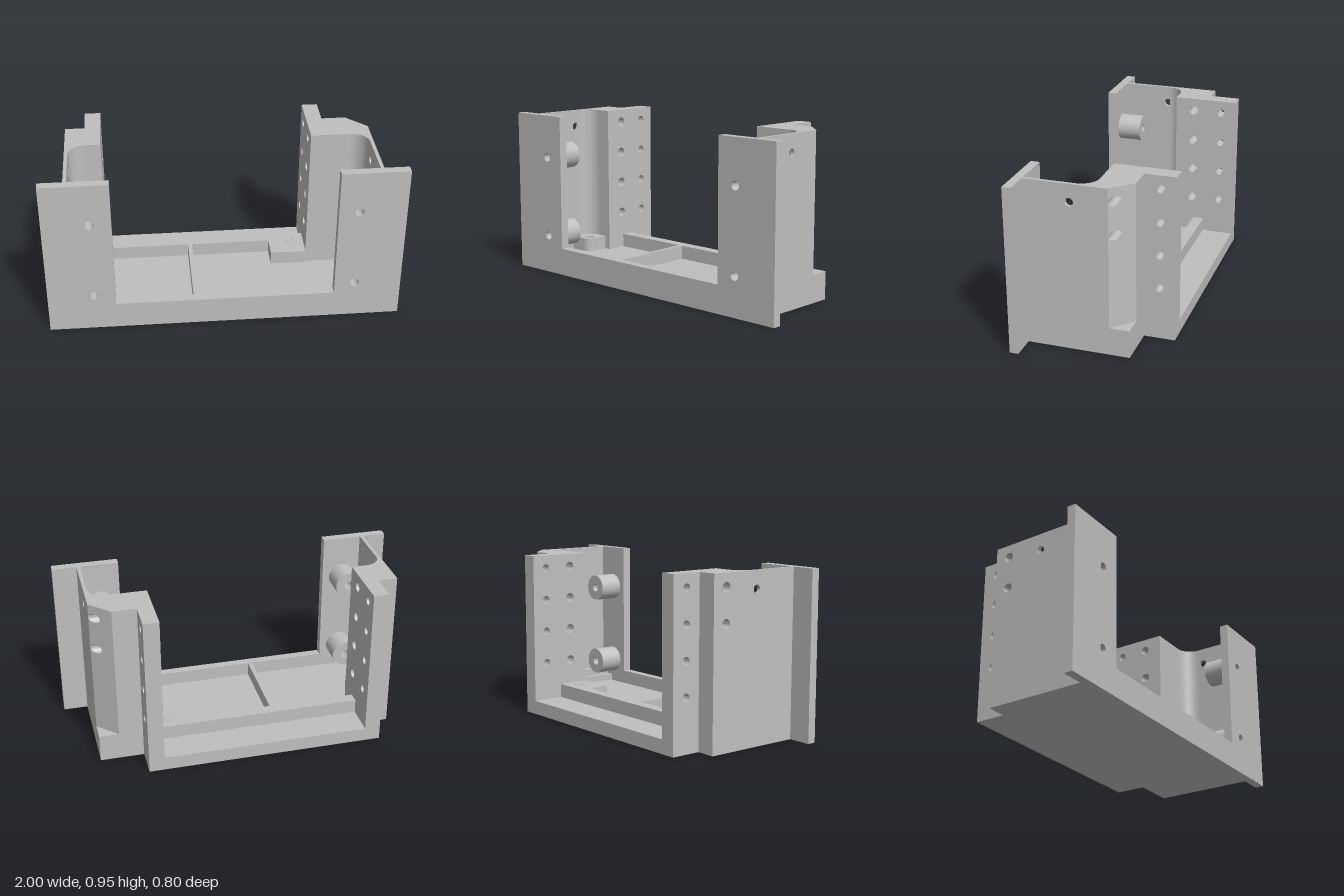
import * as THREE from 'three';
import { toCreasedNormals } from 'three/addons/utils/BufferGeometryUtils.js';

export function createModel() {
  const model = new THREE.Group();
  model.name = 'mountingBracket';
  const grey = new THREE.MeshStandardMaterial({ color: 0xbfbfbf });
  grey.name = 'plain grey';

  const TOP = 0.95, FLOOR = 0.08, LIP = 0.16;

  const add = (name, geometry) => {
    const mesh = new THREE.Mesh(toCreasedNormals(geometry, 0.6), grey);
    mesh.name = name;
    model.add(mesh);
    return mesh;
  };
  const polygon = (pts) => new THREE.Shape(pts.map(([a, b]) => new THREE.Vector2(a, b)));
  const drill = (shape, u, v, r) => {
    shape.holes.push(new THREE.Path().absarc(u, v, r, 0, Math.PI * 2, true));
    return shape;
  };
  const extrude = (shape, depth) =>
    new THREE.ExtrudeGeometry(shape, { depth, bevelEnabled: false, curveSegments: 20 });

  // Plan shape drawn in (x, -z), raised from y0 to y1
  const raise = (name, shape, y0, y1) =>
    add(name, extrude(shape, y1 - y0).rotateX(-Math.PI / 2).translate(0, y0, 0));
  const plan = (pts) => polygon(pts.map(([x, z]) => [x, -z]));
  const block = (name, x0, x1, z0, z1, y0, y1) =>
    raise(name, plan([[x0, z1], [x1, z1], [x1, z0], [x0, z0]]), y0, y1);

  // Upright slab spanning x0..x1 with round holes [z, y, radius] along x
  const slabGeometry = (x0, x1, z0, z1, y0, holes) => {
    const shape = polygon([[-z1, y0], [-z0, y0], [-z0, TOP], [-z1, TOP]]);
    holes.forEach(([z, y, r]) => drill(shape, -z, y, r));
    return extrude(shape, x1 - x0).rotateY(Math.PI / 2).translate(x0, 0, 0);
  };
  const slab = (name, x0, x1, z0, z1, y0 = FLOOR, holes = []) =>
    add(name, slabGeometry(x0, x1, z0, z1, y0, holes));

  // Base plate
  raise('basePlate', plan([
    [-1, 0.4], [1, 0.4], [1, 0.35], [0.86, 0.35], [0.86, -0.225], [0.61, -0.225],
    [0.61, -0.4], [-0.755, -0.4], [-0.755, -0.225], [-0.865, -0.225], [-0.865, 0.35], [-1, 0.35],
  ]), 0, FLOOR);

  // Front plate with a wide opening, screw holes and standoffs behind it
  const front = polygon([
    [-1, 0], [1, 0], [1, TOP], [0.62, TOP], [0.62, LIP], [-0.62, LIP], [-0.62, TOP], [-1, TOP],
  ]);
  for (const x of [-0.74, 0.735]) {
    for (const y of [0.225, 0.7]) {
      drill(front, x, y, 0.025);
      const ring = drill(new THREE.Shape().absarc(x, y, 0.078, 0, Math.PI * 2), x, y, 0.025);
      add('standoff', extrude(ring, 0.14).translate(0, 0, 0.21));
    }
  }
  add('frontPlate', extrude(front, 0.05).translate(0, 0, 0.35));

  // Hole columns shared by both towers
  const heights = [0.303, 0.495, 0.685, 0.875];
  const rearHoles = heights.map((y) => [-0.313, y, 0.023]);
  const innerHoles = heights.map((y) => [-0.14, y, 0.027]);
  const throughHoles = innerHoles.slice(2);

  // Left tower (on -x)
  slab('rearPost', -0.755, -0.665, -0.4, -0.225, FLOOR, rearHoles);
  slab('towerInner', -0.765, -0.665, -0.225, -0.03, FLOOR, innerHoles);
  slab('towerOuter', -0.865, -0.765, -0.225, -0.03, FLOOR, throughHoles);
  slab('thinWall', -0.865, -0.845, -0.03, 0.35, FLOOR, [[0.077, 0.85, 0.023]]);

  // Right tower (on +x), its outer rear corner chamfered above the foot
  slab('rearPost', 0.52, 0.61, -0.4, -0.225, FLOOR, rearHoles);
  slab('towerInner', 0.52, 0.62, -0.225, -0.112, LIP, innerHoles);
  const chamfer = slabGeometry(0.62, 0.86, -0.225, -0.112, LIP, throughHoles);
  const p = chamfer.attributes.position;
  for (let i = 0; i < p.count; i++) {
    if (p.getX(i) > 0.8) p.setX(i, p.getZ(i) + 0.972);
  }
  add('towerChamfer', chamfer);
  block('towerFoot', 0.52, 0.86, -0.225, -0.112, FLOOR, LIP);
  slab('towerOuter', 0.52, 0.86, -0.112, -0.03);
  slab('thinWall', 0.84, 0.86, -0.03, 0.35, FLOOR, [[0.097, 0.85, 0.023]]);

  // Rounded inside corners joining the towers to the thin walls
  const R = 0.095;
  for (const [x, s] of [[-0.845, 1], [0.84, -1]]) {
    const fillet = new THREE.Shape();
    fillet.moveTo(x, 0.03);
    fillet.lineTo(x, 0.03 - R);
    fillet.absarc(x + s * R, 0.03 - R, R, s > 0 ? Math.PI : 0, Math.PI / 2, s > 0);
    fillet.closePath();
    raise('cornerFillet', fillet, FLOOR, TOP);
  }

  // Raised rim, divider and bosses on the floor
  block('rearRidge', -0.665, 0.52, -0.215, -0.15, FLOOR, LIP);
  block('floorDivider', -0.18, -0.155, -0.15, 0.35, FLOOR, LIP);
  const pad = plan([[0.31, -0.02], [0.52, -0.02], [0.52, -0.165], [0.31, -0.165]]);
  // The pad's hole bites into the ridge, so it is shown as a shallow ring seat
  raise('screwPad', pad, FLOOR, LIP);
  const seat = drill(new THREE.Shape().absarc(0.44, 0.14, 0.028, 0, Math.PI * 2), 0.44, 0.14, 0.024);
  raise('padHoleRim', seat, LIP, LIP + 0.002);

  const boss = new THREE.Shape();
  boss.moveTo(-0.845, 0.03);
  boss.lineTo(-0.845, -0.11);
  boss.lineTo(-0.75, -0.11);
  boss.absarc(-0.75, -0.06, 0.05, -Math.PI / 2, 0, false);
  boss.lineTo(-0.7, 0.03);
  boss.closePath();
  raise('cornerBoss', drill(boss, -0.755, -0.055, 0.025), FLOOR, LIP);

  // Stepped ledge along the right thin wall
  block('ledgeLower', 0.75, 0.79, 0.06, 0.35, FLOOR, 0.12);
  block('ledgeUpper', 0.79, 0.84, 0.06, 0.35, FLOOR, LIP);

  return model;
}
